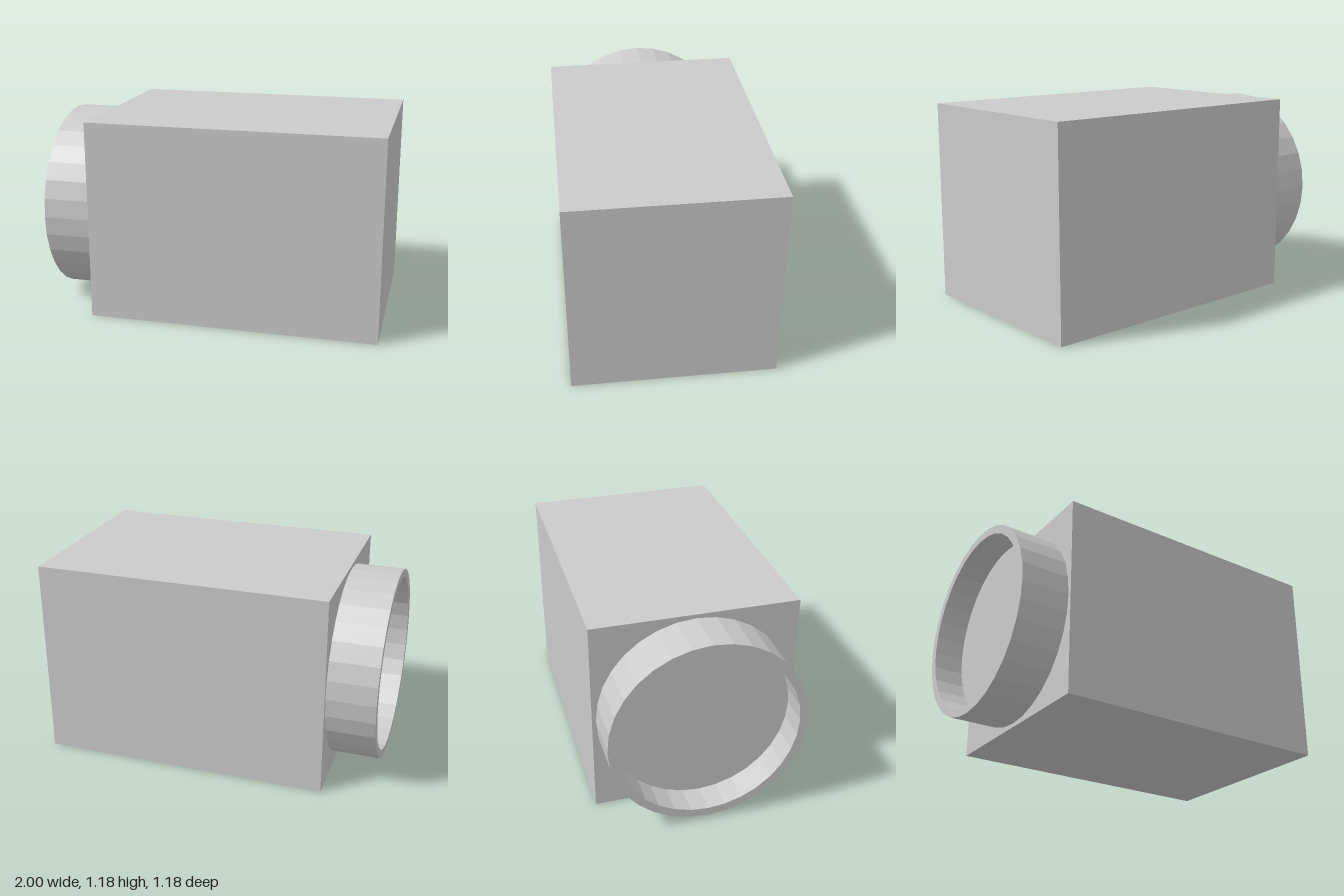
import * as THREE from 'three';

export function createModel() {
  const model = new THREE.Group();
  const grey = new THREE.MeshStandardMaterial({ color: 0xcccccc, flatShading: true });
  const size = 1.185;      // height and depth of the body
  const joint = -0.715;    // x where the collar meets the body

  // Square body
  const body = new THREE.Mesh(new THREE.BoxGeometry(1 - joint, size, size), grey);
  body.name = 'body';
  body.position.set((1 + joint) / 2, size / 2, 0);
  model.add(body);

  // Round collar with a recessed disc, turned so its axis points to -x
  const profile = [
    [0.57, -joint], [0.57, 1], [0.52, 1], [0.52, 0.825], [0, 0.825],
  ].map(([r, h]) => new THREE.Vector2(r, h));
  const collar = new THREE.Mesh(new THREE.LatheGeometry(profile, 32), grey);
  collar.name = 'collar';
  collar.rotation.z = Math.PI / 2;
  collar.position.y = size / 2;
  model.add(collar);

  return model;
}
